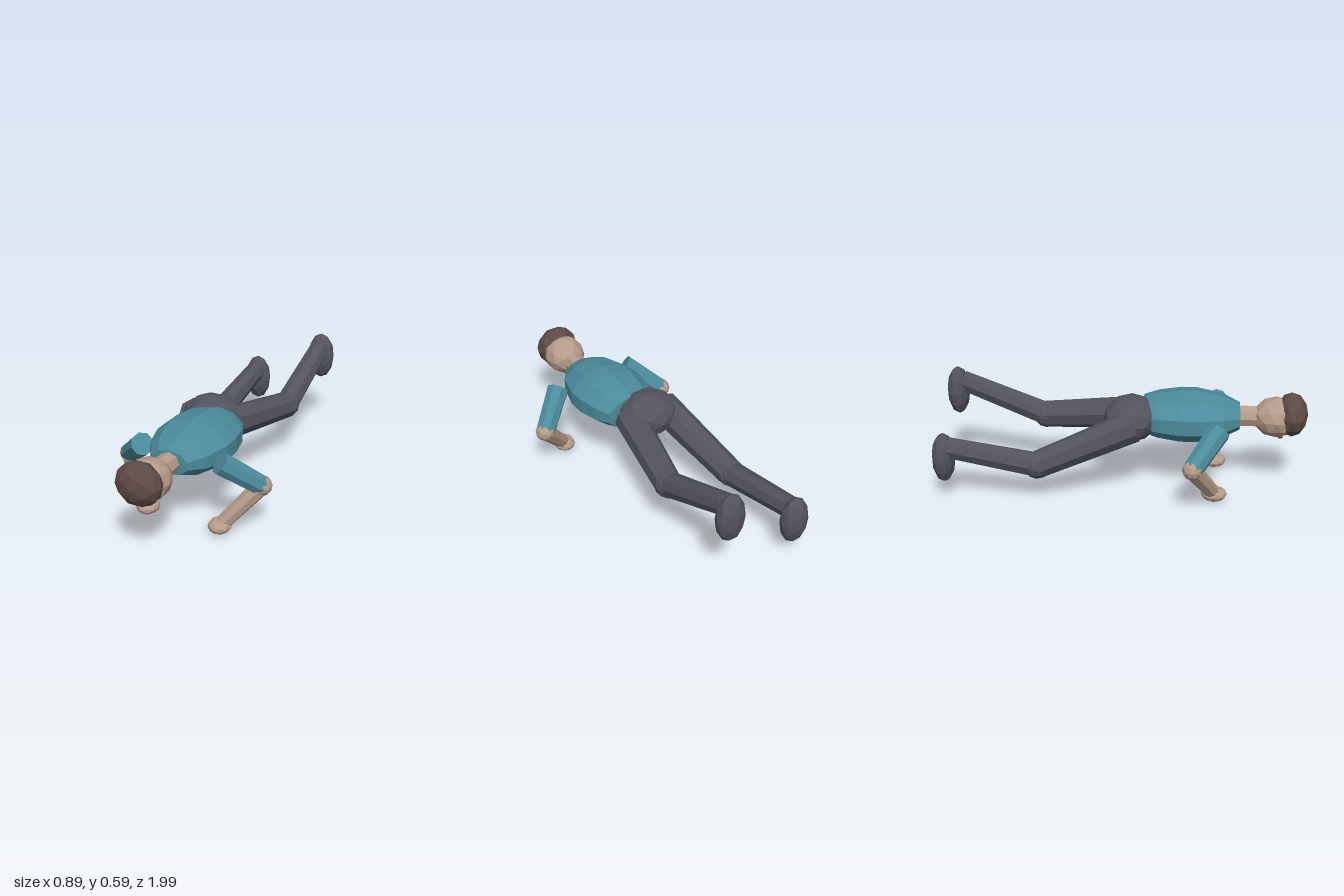
import * as THREE from 'three';

export function createModel() {
  const model = new THREE.Group();
  model.name = 'pushUpFigure';

  const material = (name, color) => {
    const m = new THREE.MeshStandardMaterial({ color });
    m.name = name;
    m.flatShading = true;
    return m;
  };
  const skin = material('skin', 0xb59c89);
  const hair = material('hair', 0x5e4a45);
  const shirt = material('shirt', 0x4b8b9b);
  const trousers = material('trousers', 0x53535f);

  const add = (name, geometry, mat, parent = model) => {
    const mesh = new THREE.Mesh(geometry, mat);
    mesh.name = name;
    parent.add(mesh);
    return mesh;
  };

  // Faceted ellipsoid from a centre and three radii
  const blob = (name, centre, radii, mat, parent) => {
    const mesh = add(name, new THREE.IcosahedronGeometry(1, 1), mat, parent);
    mesh.position.set(...centre);
    mesh.scale.set(...radii);
    return mesh;
  };

  // Tapered eight-sided limb between two points
  const limb = (name, from, to, r0, r1, mat, parent) => {
    const a = new THREE.Vector3(...from);
    const b = new THREE.Vector3(...to);
    const dir = b.clone().sub(a);
    const mesh = add(name, new THREE.CylinderGeometry(r1, r0, dir.length(), 8), mat, parent);
    mesh.position.copy(a).add(b).multiplyScalar(0.5);
    mesh.quaternion.setFromUnitVectors(new THREE.Vector3(0, 1, 0), dir.normalize());
    return mesh;
  };

  // Torso: flattened lathe lying along z, with flat ends
  const profile = [
    [0, 0.105], [0.15, 0.11], [0.19, 0.19], [0.216, 0.31],
    [0.216, 0.4], [0.175, 0.54], [0.108, 0.63], [0, 0.635],
  ].map(([r, z]) => new THREE.Vector2(r, z));
  const torsoGeometry = new THREE.LatheGeometry(profile, 10);
  torsoGeometry.rotateX(Math.PI / 2);
  torsoGeometry.scale(1, 0.62, 1);
  const torso = add('torso', torsoGeometry, shirt);
  torso.position.y = 0.41;

  // Pelvis
  blob('pelvis', [-0.07, 0.41, 0.05], [0.17, 0.123, 0.152], trousers);

  // Neck, head and hair, with the face turned down
  limb('neck', [0, 0.41, 0.58], [0, 0.41, 0.76], 0.059, 0.059, skin);
  blob('head', [0, 0.41, 0.825], [0.117, 0.109, 0.128], skin);
  blob('hair', [0, 0.427, 0.908], [0.126, 0.118, 0.087], hair);
  for (const s of [-1, 1]) {
    blob('eye', [s * 0.04, 0.312, 0.85], [0.015, 0.01, 0.015], hair);
  }

  // Arms, mirrored across x
  for (const s of [-1, 1]) {
    const arm = new THREE.Group();
    arm.name = s > 0 ? 'leftArm' : 'rightArm';
    model.add(arm);
    const shoulder = [s * 0.225, 0.412, 0.52];
    const elbow = [s * 0.393, 0.263, 0.387];
    const hand = [s * 0.215, 0.044, 0.503];
    limb('upperArm', shoulder, elbow, 0.062, 0.054, shirt, arm);
    blob('elbow', elbow, [0.054, 0.054, 0.054], skin, arm);
    limb('forearm', elbow, hand, 0.048, 0.039, skin, arm);
    blob('hand', hand, [0.062, 0.04, 0.07], skin, arm);
  }

  // Legs: the left one is held higher than the right
  const legs = [
    { name: 'leftLeg', hip: [0.035, 0.4, 0.07], knee: [0.143, 0.327, -0.44],
      ankle: [0.143, 0.515, -0.91], foot: [0.143, 0.457, -0.936] },
    { name: 'rightLeg', hip: [-0.175, 0.405, 0.07], knee: [-0.275, 0.208, -0.435],
      ankle: [-0.28, 0.292, -0.91], foot: [-0.28, 0.235, -0.936] },
  ];
  for (const { name, hip, knee, ankle, foot } of legs) {
    const leg = new THREE.Group();
    leg.name = name;
    model.add(leg);
    limb('thigh', hip, knee, 0.088, 0.074, trousers, leg);
    blob('knee', knee, [0.076, 0.076, 0.076], trousers, leg);
    limb('shin', knee, ankle, 0.068, 0.058, trousers, leg);
    blob('foot', foot, [0.08, 0.14, 0.062], trousers, leg);
  }

  return model;
}
